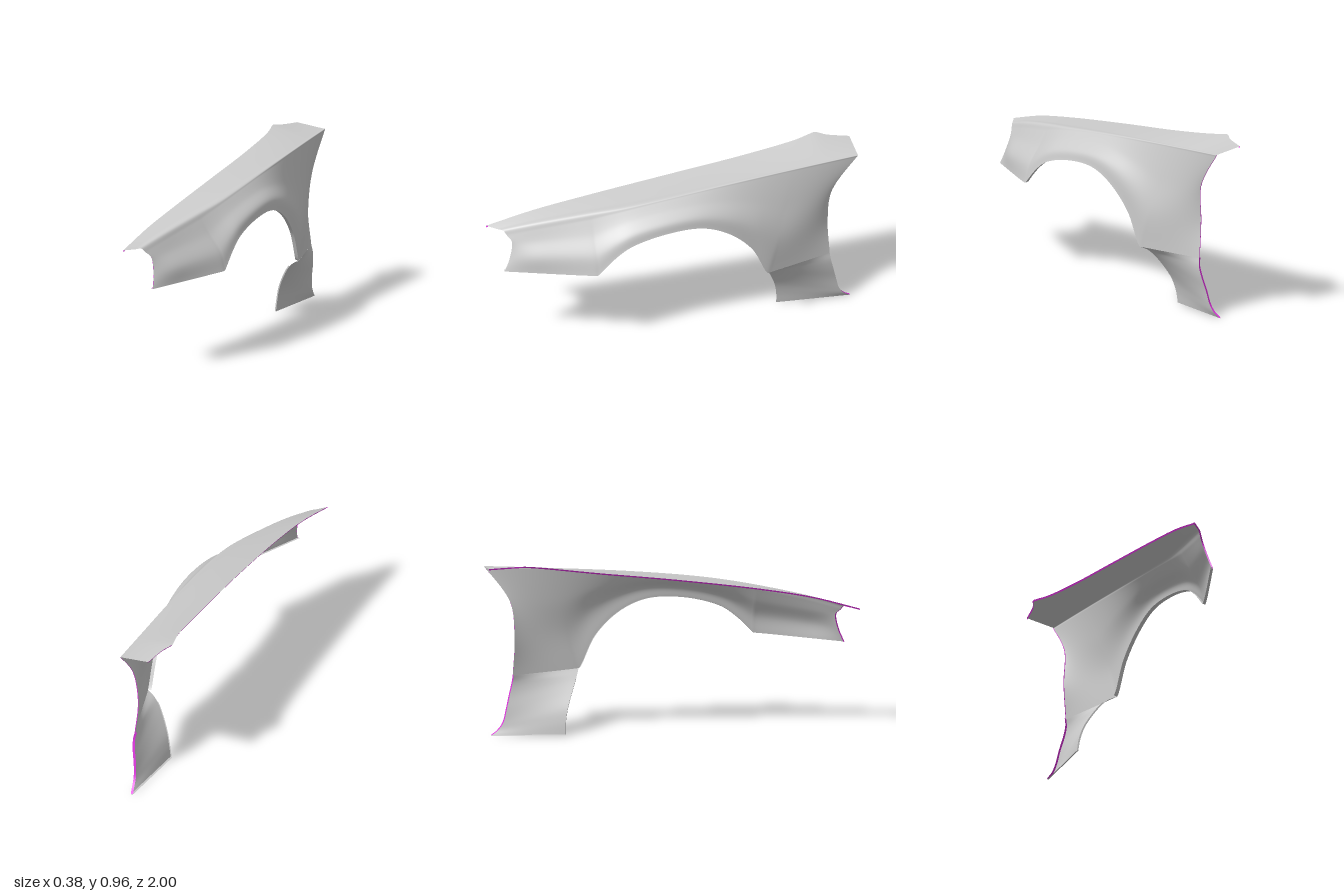
import * as THREE from 'three';

const V = (p) => new THREE.Vector3(...p);
const curve = (pts) => new THREE.CatmullRomCurve3(pts, false, 'centripetal');
const guide = (...pts) => {
  const c = curve(pts.map(V));
  c.arcLengthDivisions = 800;
  return c;
};
const grey = new THREE.MeshStandardMaterial({ color: 0xcccccc, side: THREE.DoubleSide });
const magenta = new THREE.MeshStandardMaterial({ color: 0xdd33dd, side: THREE.DoubleSide });

// Guide curves from nose to door
const hoodEdge = guide([-.19, .677, 1], [-.165, .745, .75], [-.145, .797, .46], [-.127, .86, 0],
  [-.12, .91, -.42], [-.125, .95, -.71], [-.142, .963, -.8], [-.146, .965, -.825],
  [-.117, .957, -.88], [-.085, .945, -1]);
const shoulder = guide([-.115, .677, .925], [-.06, .725, .75], [.01, .78, .48], [.05, .81, .3],
  [.07, .837, .1], [.08, .872, -.25], [.08, .91, -.77], [.08, .925, -1]);
const bottomEdge = guide([-.042, .465, .94], [.142, .482, .55], [.168, .4845, .488], [.17, .486, .478],
  [.172, .497, .467], [.176, .57, .395], [.18, .637, .3], [.186, .69, .1], [.186, .69, -.1],
  [.185, .625, -.25], [.178, .5, -.38], [.17, .325, -.47], [.164, .324, -.49], [.07, .32, -.845]);

// Cross-section of the outer panel at u, from the hood edge down
function section(u) {
  const [a, b, e] = [hoodEdge, shoulder, bottomEdge].map((c) => c.getPointAt(u));
  // The side swells over the wheel and its ends are scooped lengthwise
  const nose = Math.max(0, 1 - u / .1) ** 2;
  const door = Math.max(0, (u - .85) / .15) ** 2;
  const swell = .025 - .045 * Math.max(0, (u - .7) / .3) ** 2 - .01 * nose;
  const scoop = .09 * door - .04 * nose;
  const c = b.clone().lerp(e, 1 / 3).add(V([.3 * swell + .012 * nose, .02 * nose, scoop]));
  const d = b.clone().lerp(e, 2 / 3).add(V([swell, 0, .65 * scoop]));
  // The shoulder is tight at the door and fades to a soft round at the nose
  const r = THREE.MathUtils.lerp(.4, .06, Math.min(1, u / .78));
  return curve([a, b.clone().lerp(a, r), b, b.clone().lerp(c, r), c, d, e]);
}

// Surface through rows of points that all have the same length
function skin(name, rows, material = grey) {
  const n = rows[0].length, index = [];
  for (let j = 0; j < rows.length - 1; j++) {
    for (let i = 0; i < n - 1; i++) {
      const a = j * n + i, b = a + n;
      index.push(a, a + 1, b, b, a + 1, b + 1);
    }
  }
  const g = new THREE.BufferGeometry().setFromPoints(rows.flat());
  g.setIndex(index);
  g.computeVertexNormals();
  const mesh = new THREE.Mesh(g, material);
  mesh.name = name;
  return mesh;
}

// Narrow return flange along an edge
const flange = (name, edge, offset, material = grey) =>
  skin(name, [edge, edge.map((p) => p.clone().add(V(offset)))], material);

export function createModel() {
  const fender = new THREE.Group();
  fender.name = 'fender';

  // Main outer panel
  const NU = 220, NV = 48;
  const rows = Array.from({ length: NU + 1 }, (_, i) => section(i / NU).getPoints(NV));
  fender.add(skin('outerPanel', rows));

  // Lower panel behind the wheel, tucked in below the crease and flared at the door
  const front = guide([.17, .325, -.47], [.125, .302, -.485], [.093, .27, -.5], [.055, .215, -.525],
    [.017, .14, -.553], [-.002, .07, -.567], [-.012, .004, -.57]).getPoints(30);
  const rear = guide([.07, .32, -.845], [.077, .28, -.85], [.072, .22, -.865], [.056, .14, -.885],
    [.047, .07, -.905], [.042, .03, -.935], [.033, .006, -.97]).getPoints(30);
  fender.add(skin('lowerPanel', Array.from({ length: 13 }, (_, i) =>
    front.map((p, j) => p.clone().lerp(rear[j], i / 12)))));

  // Wheel arch lip and bottom returns
  const bottom = rows.map((r) => r[NV]);
  fender.add(flange('wheelArchLip', bottom.filter((p) => p.z < .485 && p.z > -.475), [-.02, .004, 0]));
  fender.add(flange('frontBottomReturn', bottom.filter((p) => p.z > .475), [-.015, .003, 0]));
  fender.add(flange('lowerPanelFrontReturn', front.slice(8), [-.008, .002, -.003]));
  fender.add(flange('lowerPanelBottomReturn', [front[30], rear[30]], [-.01, -.003, 0]));

  // Coloured edge returns
  fender.add(flange('hoodEdgeReturn', rows.map((r) => r[0]), [.004, -.008, 0], magenta));
  fender.add(flange('noseEdgeReturn', rows[0], [-.005, 0, -.007], magenta));
  fender.add(flange('doorEdgeReturn', rows[NU].slice(16), [-.004, 0, 0], magenta));
  fender.add(flange('lowerDoorEdgeReturn', rear, [-.012, .002, .004], magenta));
  return fender;
}
